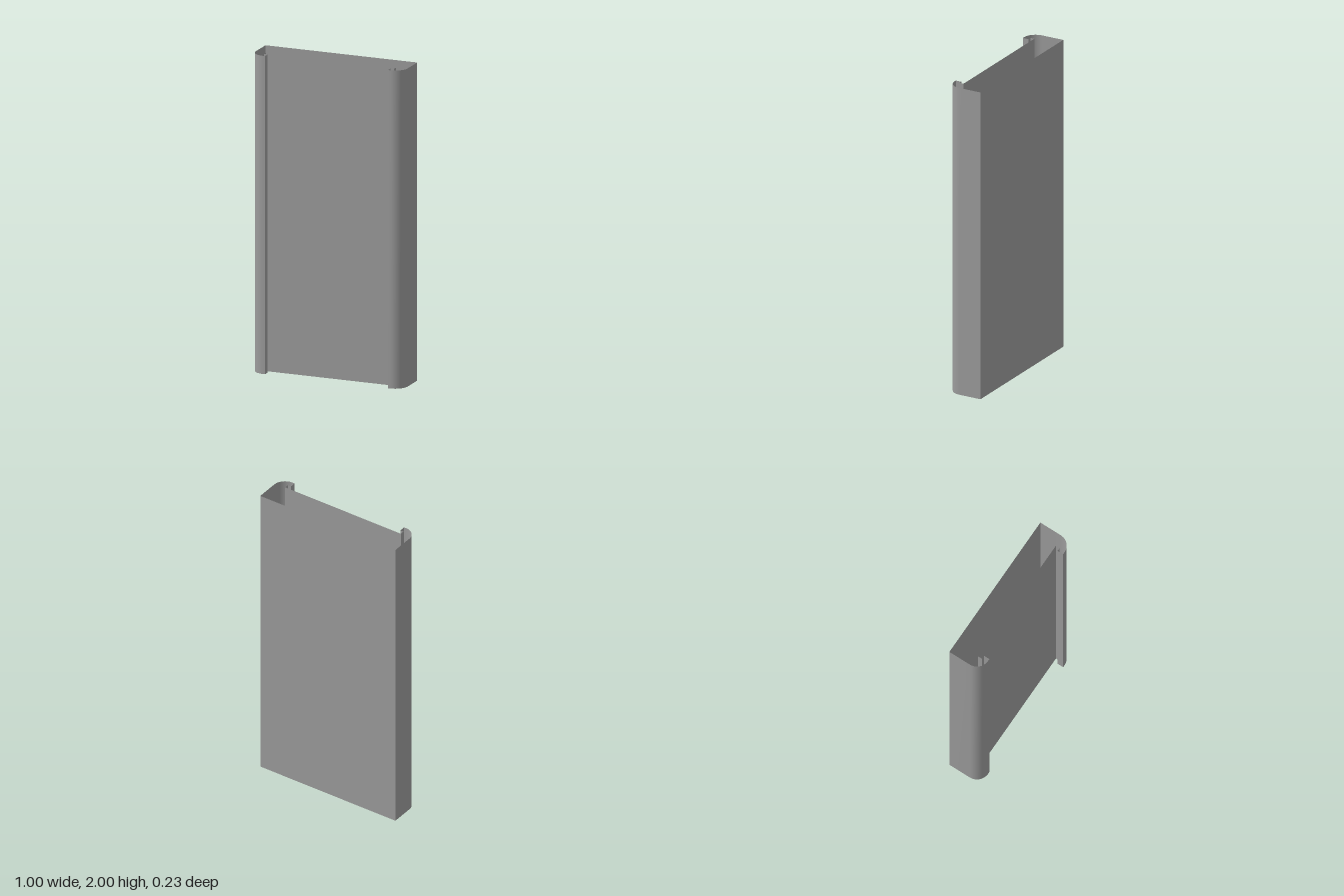
import * as THREE from 'three';
import { toCreasedNormals } from 'three/addons/utils/BufferGeometryUtils.js';

const HEIGHT = 2, HALF_W = 0.5, HALF_D = 0.114;
const LIP_X = 0.405, RADIUS = 0.08;
const PANEL_X = 0.428, PANEL_Z = 0.047, STEP_Z = 0.074;

// Thin upright sheet that follows a list of [x, z] points
function sheet(name, points) {
  let geo = new THREE.PlaneGeometry(1, HEIGHT, points.length - 1, 1);
  const pos = geo.attributes.position;
  for (let i = 0; i < pos.count; i++) {
    const [x, z] = points[i % points.length];
    pos.setXYZ(i, x, pos.getY(i) + HEIGHT / 2, z);
  }
  geo = toCreasedNormals(geo, Math.PI / 6);
  const material = new THREE.MeshStandardMaterial({ color: 0x9b9b9b, side: THREE.DoubleSide });
  const mesh = new THREE.Mesh(geo, material);
  mesh.name = name;
  return mesh;
}

export function createModel() {
  const group = new THREE.Group();
  group.name = 'hollowPanel';

  // Flat back, and the recessed front panel between the two lips
  group.add(sheet('backPanel', [[HALF_W, -HALF_D], [-HALF_W, -HALF_D]]));
  group.add(sheet('frontPanel', [[-PANEL_X, PANEL_Z], [PANEL_X, PANEL_Z]]));

  // Front lip, rounded corner and side wall, from the lip edge to the back
  const wall = [[LIP_X, HALF_D]];
  const steps = 12;
  for (let i = 0; i <= steps; i++) {
    const a = (i / steps) * Math.PI / 2;
    wall.push([
      HALF_W - RADIUS + RADIUS * Math.sin(a),
      HALF_D - RADIUS + RADIUS * Math.cos(a),
    ]);
  }
  wall.push([HALF_W, -HALF_D]);

  // Stepped return from the front panel out to the lip edge
  const lipReturn = [
    [PANEL_X, PANEL_Z],
    [PANEL_X, STEP_Z],
    [LIP_X, STEP_Z],
    [LIP_X, HALF_D],
  ];

  // Mirrored pair; the point order is reversed so the outside stays outside
  for (const [side, s] of [['left', 1], ['right', -1]]) {
    const place = (pts) => {
      const out = pts.map(([x, z]) => [x * s, z]);
      return s > 0 ? out : out.reverse();
    };
    group.add(sheet(side + 'Wall', place(wall)));
    group.add(sheet(side + 'LipReturn', place(lipReturn)));
  }
  return group;
}
